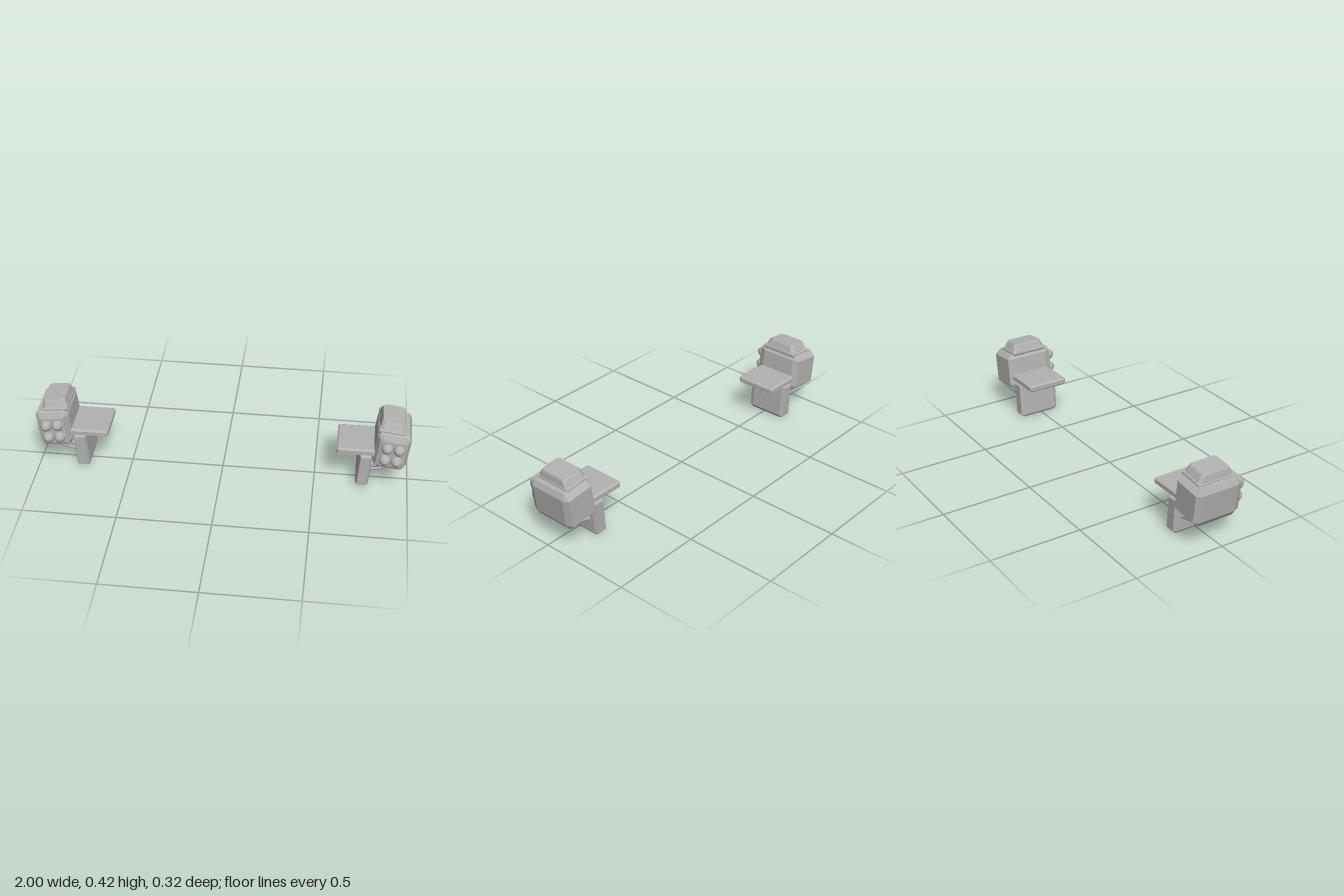
import * as THREE from 'three';
import { ConvexGeometry } from 'three/addons/geometries/ConvexGeometry.js';

const grey = new THREE.MeshStandardMaterial({ color: 0xb2b2b2 });
grey.name = 'grey';

// Box with chamfered edges; c holds the chamfer along x, y and z
function chamferBox(w, h, d, c) {
  const [a, b, e] = [w / 2, h / 2, d / 2];
  const [cx, cy, cz] = c;
  const points = [];
  for (const x of [-1, 1]) for (const y of [-1, 1]) for (const z of [-1, 1]) {
    points.push(
      new THREE.Vector3(x * a, y * (b - cy), z * (e - cz)),
      new THREE.Vector3(x * (a - cx), y * b, z * (e - cz)),
      new THREE.Vector3(x * (a - cx), y * (b - cy), z * e));
  }
  return new ConvexGeometry(points);
}

// Stack of rectangular rings with cut corners: [y, width, depth, cut]
function ringSolid(rings) {
  const points = [];
  for (const [y, w, d, c] of rings) {
    for (const x of [-1, 1]) for (const z of [-1, 1]) {
      points.push(
        new THREE.Vector3(x * w / 2, y, z * (d / 2 - c)),
        new THREE.Vector3(x * (w / 2 - c), y, z * d / 2));
    }
  }
  return new ConvexGeometry(points);
}

function add(parent, name, geometry, x, y, z, rotZ = 0) {
  const mesh = new THREE.Mesh(geometry, grey);
  mesh.name = name;
  mesh.position.set(x, y, z);
  mesh.rotation.z = rotZ;
  parent.add(mesh);
  return mesh;
}

// Rounded rocket nose, turned to point forward
function noseGeometry() {
  const profile = [[0.03, 0], [0.03, 0.012], [0.023, 0.024], [0.012, 0.034], [0, 0.036]];
  return new THREE.LatheGeometry(profile.map(p => new THREE.Vector2(...p)), 20).rotateX(Math.PI / 2);
}

// Launcher on one side: s = 1 for left, -1 for right
function createLauncher(s) {
  const launcher = new THREE.Group();
  launcher.name = s > 0 ? 'leftLauncher' : 'rightLauncher';

  // Shoulder bracket
  add(launcher, 'bracketShelf', chamferBox(0.21, 0.038, 0.235, [0.01, 0.008, 0.012]), s * 0.716, 0.225, -0.02);
  add(launcher, 'bracketWall', chamferBox(0.068, 0.208, 0.235, [0.008, 0.014, 0.02]), s * 0.762, 0.105, -0.02, -s * 0.07);

  // Joint between bracket and pod
  add(launcher, 'jointArm', chamferBox(0.1, 0.024, 0.163, [0.008, 0.008, 0.008]), s * 0.835, 0.105, -0.018, s * 0.25);
  add(launcher, 'jointBlock', chamferBox(0.09, 0.04, 0.175, [0.01, 0.01, 0.01]), s * 0.83, 0.134, -0.018, s * 0.1);
  add(launcher, 'jointPivot', new THREE.CylinderGeometry(0.028, 0.036, 0.05, 20), s * 0.878, 0.13, -0.018, -s * 0.12);

  // Pod, leaning outwards
  const pod = new THREE.Group();
  pod.name = 'pod';
  pod.position.set(s * 0.9, 0.249, -0.021);
  pod.rotation.z = -s * 0.122;
  launcher.add(pod);

  add(pod, 'podBody', chamferBox(0.18, 0.216, 0.272, [0.016, 0.03, 0.034]), 0, 0, 0);
  add(pod, 'frontRim', chamferBox(0.152, 0.196, 0.03, [0.016, 0.016, 0.008]), 0, 0, 0.125);
  add(pod, 'frontPanel', chamferBox(0.136, 0.178, 0.02, [0.012, 0.012, 0.005]), 0, 0, 0.137);
  add(pod, 'podFoot', chamferBox(0.13, 0.02, 0.21, [0.01, 0.006, 0.01]), 0, -0.108, 0.002);

  // Raised cover on top
  add(pod, 'coverBase', chamferBox(0.142, 0.024, 0.212, [0.006, 0.006, 0.006]), -s * 0.02, 0.107, 0.001);
  add(pod, 'cover', ringSolid([[0.115, 0.136, 0.204, 0.016], [0.15, 0.12, 0.168, 0.014], [0.158, 0.112, 0.156, 0.012]]),
    -s * 0.02, 0, 0.002);

  // Four rockets
  const nose = noseGeometry();
  for (const x of [-0.031, 0.031]) for (const y of [-0.037, 0.037]) {
    add(pod, 'rocketNose', nose, x, y, 0.146);
  }
  return launcher;
}

export function createModel() {
  const model = new THREE.Group();
  model.name = 'shoulderLaunchers';
  model.add(createLauncher(1), createLauncher(-1));
  return model;
}
